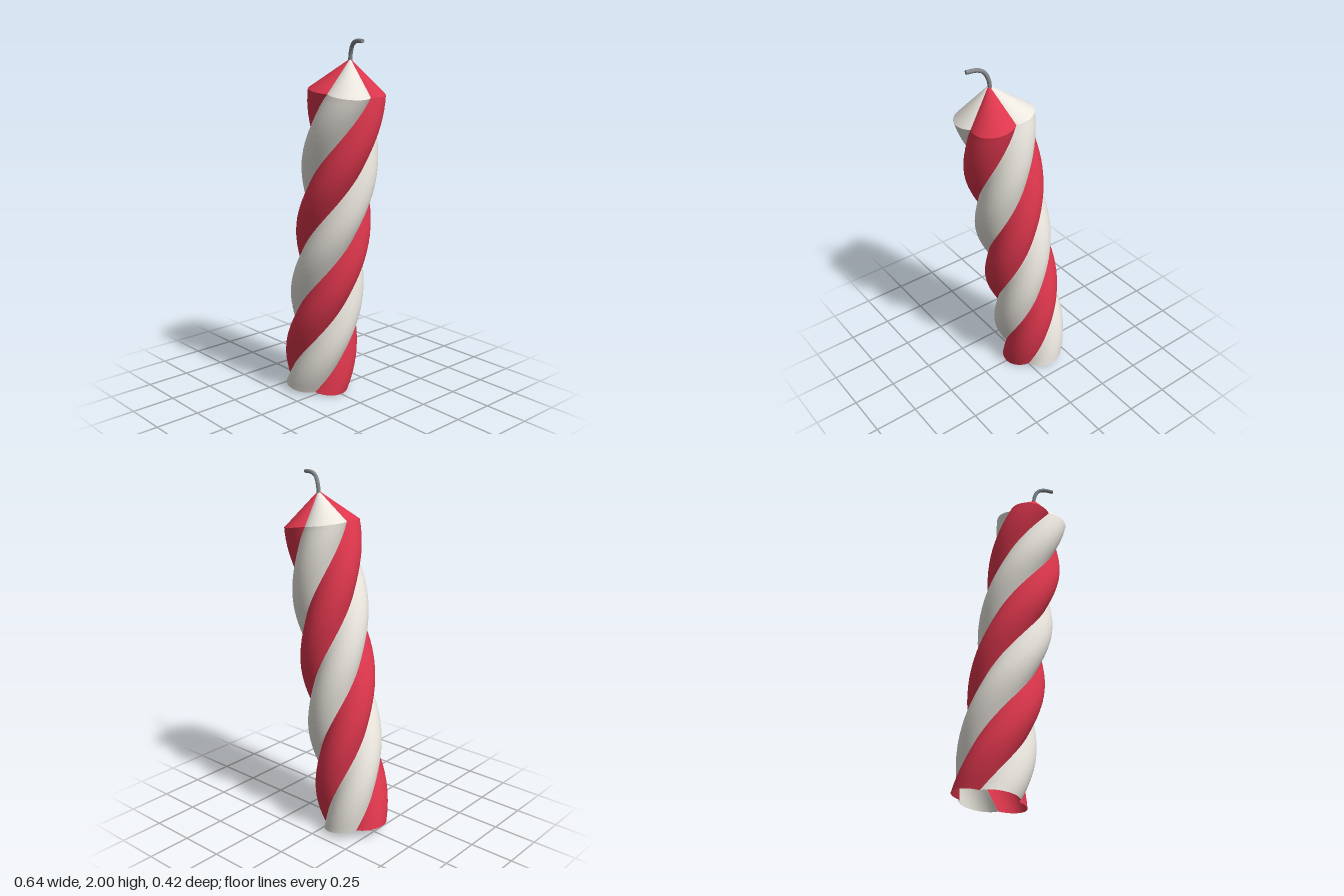
import * as THREE from 'three';

const HEIGHT = 1.714, TIP = 0.172;                 // twisted body, pointed top
const OFFSET = 0.09, RADIUS = 0.115;               // lobe centre from axis, lobe radius
const HALF_ARC = THREE.MathUtils.degToRad(78.6);   // where neighbouring lobes meet
const START = THREE.MathUtils.degToRad(-2), TWIST = THREE.MathUtils.degToRad(415);

// Loft one lobe's arc through rows of { y, turn, scale }
function loftLobe(rows, angle, across = 18) {
  const pos = [], index = [], n = across + 1;
  for (const { y, turn, scale } of rows) {
    const phi = angle + turn;
    for (let i = 0; i <= across; i++) {
      const t = HALF_ARC * (2 * i / across - 1);
      const out = scale * (OFFSET + RADIUS * Math.cos(t));
      const side = scale * RADIUS * Math.sin(t);
      pos.push(out * Math.sin(phi) + side * Math.cos(phi), y, out * Math.cos(phi) - side * Math.sin(phi));
    }
  }
  for (let j = 0; j < rows.length - 1; j++) {
    for (let i = 0; i < across; i++) {
      const a = j * n + i, b = a + 1, c = a + n, d = c + 1;
      index.push(a, b, d, a, d, c);
    }
  }
  const geo = new THREE.BufferGeometry();
  geo.setAttribute('position', new THREE.Float32BufferAttribute(pos, 3));
  geo.setIndex(index);
  geo.computeVertexNormals();
  return geo;
}

export function createModel() {
  const model = new THREE.Group();
  model.name = 'twistedCandle';
  const red = new THREE.MeshStandardMaterial({ color: 0xdc364c, side: THREE.DoubleSide });
  const white = new THREE.MeshStandardMaterial({ color: 0xebe7df, side: THREE.DoubleSide });
  const grey = new THREE.MeshStandardMaterial({ color: 0x85888c });

  // Leaning candle body, open underneath
  const body = new THREE.Group();
  body.name = 'body';
  body.position.set(-0.11, 0.035, -0.003);
  body.rotation.set(0.01, 0, THREE.MathUtils.degToRad(-8.6));
  model.add(body);

  const steps = 48;
  const bodyRows = Array.from({ length: steps + 1 }, (_, j) => (
    { y: HEIGHT * j / steps, turn: TWIST * j / steps, scale: 1 }));
  const tipRows = [1, 0.75, 0.5, 0.25, 0.002].map((scale) => (
    { y: HEIGHT + TIP * (1 - scale), turn: TWIST, scale }));

  // Four strands, alternating white and red, each with its pointed tip
  for (let k = 0; k < 4; k++) {
    const angle = START + k * Math.PI / 2;
    const material = k % 2 ? red : white;
    const strand = new THREE.Mesh(loftLobe(bodyRows, angle), material);
    strand.name = 'strand' + (k + 1);
    const tip = new THREE.Mesh(loftLobe(tipRows, angle), material);
    tip.name = 'strandTip' + (k + 1);
    body.add(strand, tip);
  }

  // Bent wick with closed ends
  const curve = new THREE.CatmullRomCurve3([
    [0.167, 1.88, 0.012], [0.174, 1.93, 0.014], [0.195, 1.972, 0.02],
    [0.228, 1.989, 0.027], [0.287, 1.99, 0.04],
  ].map((p) => new THREE.Vector3(...p)));
  const wick = new THREE.Group();
  wick.name = 'wick';
  const cord = new THREE.Mesh(new THREE.TubeGeometry(curve, 20, 0.011, 10), grey);
  cord.name = 'wickCord';
  const end = new THREE.Mesh(new THREE.CircleGeometry(0.011, 10), grey);
  end.name = 'wickEnd';
  end.position.copy(curve.getPoint(1));
  end.lookAt(end.position.clone().add(curve.getTangent(1)));
  wick.add(cord, end);
  model.add(wick);
  return model;
}
